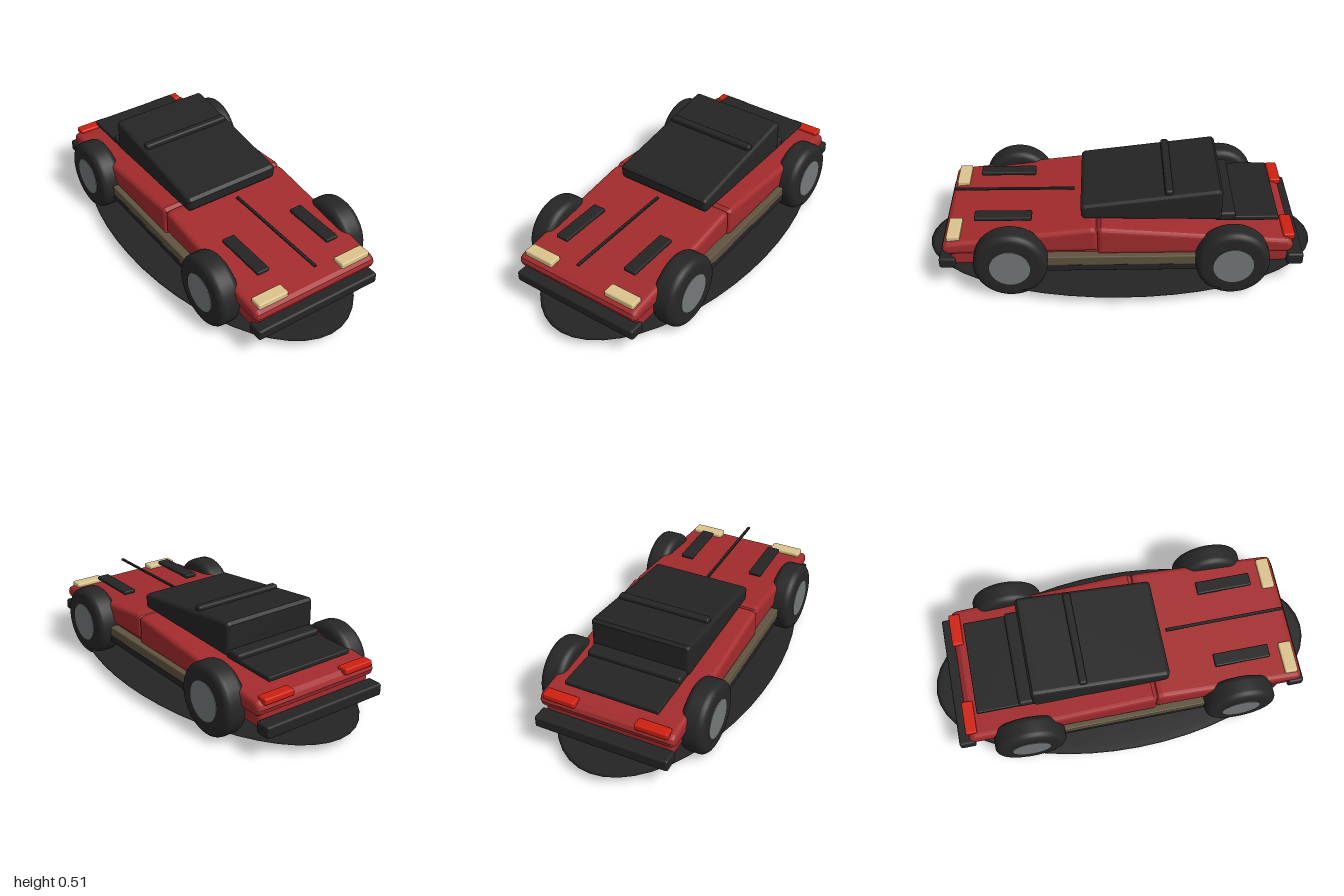
import * as THREE from 'three';
import { RoundedBoxGeometry } from 'three/addons/geometries/RoundedBoxGeometry.js';

const mat = (name, color) => {
  const m = new THREE.MeshStandardMaterial({ color });
  m.name = name;
  return m;
};

export function createModel() {
  const red = mat('body red', 0xa32b2d);
  const black = mat('trim black', 0x242424);
  const rubber = mat('tyre black', 0x262626);
  const grey = mat('hub grey', 0x73787a);
  const tan = mat('sill brown', 0x5f533f);
  const cream = mat('headlight cream', 0xdbc38c);
  const tailRed = mat('tail light red', 0xd02010);

  const root = new THREE.Group();
  root.name = 'roadster';
  const car = new THREE.Group();
  car.name = 'car';
  car.rotation.y = -0.1; // the whole car stands slightly turned
  root.add(car);

  const add = (name, geo, material, x = 0, y = 0, z = 0, parent = car) => {
    const m = new THREE.Mesh(geo, material);
    m.name = name;
    m.position.set(x, y, z);
    parent.add(m);
    return m;
  };

  // Rounded box given by its extents along the car, in height, and its half width
  const box = (name, material, [x0, x1], [y0, y1], halfW, z = 0, r = 0.01) =>
    add(name, new RoundedBoxGeometry(x1 - x0, y1 - y0, halfW * 2, 3, r),
      material, (x0 + x1) / 2, (y0 + y1) / 2, z);

  // Side profile extruded across the car, with rounded long edges
  const slab = (name, material, points, halfW, bevel) => {
    const shape = new THREE.Shape(points.map(([x, y]) => new THREE.Vector2(x, y)));
    const geo = new THREE.ExtrudeGeometry(shape, {
      depth: 2 * (halfW - bevel), bevelEnabled: true, bevelThickness: bevel,
      bevelSize: bevel, bevelOffset: -bevel, bevelSegments: 4,
    });
    geo.translate(0, 0, -(halfW - bevel));
    return add(name, geo, material);
  };

  // Bodywork
  slab('hood', red, [[0.115, 0.215], [0.86, 0.203], [0.88, 0.215], [0.887, 0.235],
    [0.88, 0.257], [0.86, 0.27], [0.15, 0.352], [0.125, 0.348], [0.115, 0.335]], 0.35, 0.025);
  slab('rearBody', red, [[0.12, 0.2], [0.12, 0.34], [0.1, 0.355], [-0.42, 0.312],
    [-0.82, 0.278], [-0.842, 0.262], [-0.85, 0.24], [-0.842, 0.215], [-0.82, 0.2]], 0.355, 0.025);
  box('lowerBody', red, [-0.83, 0.85], [0.13, 0.225], 0.335, 0, 0.025);
  box('floor', black, [-0.8, 0.8], [0.115, 0.15], 0.3);
  box('sillStrip', tan, [-0.39, 0.39], [0.155, 0.207], 0.378, 0, 0.006);
  box('sillBase', black, [-0.39, 0.39], [0.118, 0.158], 0.375, 0, 0.006);

  // Soft top, its front rail, and rear deck
  slab('cabin', black, [[-0.498, 0.355], [-0.498, 0.495], [-0.485, 0.51], [-0.46, 0.508],
    [0.185, 0.428], [0.2, 0.415], [0.198, 0.365], [0.185, 0.35], [-0.485, 0.335]], 0.262, 0.02);
  box('roofRail', black, [-0.255, -0.215], [0.465, 0.503], 0.245, 0, 0.012);
  box('foldedCover', black, [-0.568, -0.48], [0.325, 0.372], 0.25, 0, 0.015);
  box('rearDeck', black, [-0.782, -0.47], [0.322, 0.347], 0.245, 0, 0.006);
  box('hoodStripe', black, [0.235, 0.852], [0.354, 0.364], 0.008, 0, 0.003);

  // Parts mirrored left and right
  for (const s of [-1, 1]) {
    box('hoodVent', black, [0.444, 0.73], [0.326, 0.346], 0.034, s * 0.203, 0.006);
    box('headlight', cream, [0.797, 0.863], [0.262, 0.296], 0.083, s * 0.241, 0.008);
    box('tailLight', tailRed, [-0.857, -0.8], [0.262, 0.295], 0.085, s * 0.241, 0.008);
  }

  // Bumpers
  box('frontBumper', black, [0.825, 0.908], [0.122, 0.178], 0.35, 0, 0.012);
  box('rearBumper', black, [-0.908, -0.825], [0.122, 0.185], 0.35, 0, 0.012);

  // Wheels: a turned tyre with rounded shoulders around a flat hub
  const R = 0.183, W = 0.062, C = 0.035;
  const profile = [new THREE.Vector2(0.001, -W), new THREE.Vector2(0.1, -W)];
  for (const end of [-1, 1]) {
    for (let i = 0; i <= 5; i++) {
      const a = end * Math.PI / 2 * (end < 0 ? 1 - i / 5 : i / 5);
      profile.push(new THREE.Vector2(R - C + C * Math.cos(a), end * (W - C) + C * Math.sin(a)));
    }
  }
  profile.push(new THREE.Vector2(0.1, W), new THREE.Vector2(0.001, W));
  const tyreGeo = new THREE.LatheGeometry(profile, 40).rotateX(Math.PI / 2);
  const hubGeo = new THREE.CylinderGeometry(0.1, 0.1, 2 * W + 0.006, 32).rotateX(Math.PI / 2);
  for (const x of [-0.547, 0.547]) {
    for (const s of [-1, 1]) {
      const wheel = new THREE.Group();
      wheel.name = x > 0 ? 'frontWheel' : 'rearWheel';
      wheel.position.set(x, R + 0.003, s * 0.373);
      car.add(wheel);
      add('tyre', tyreGeo, rubber, 0, 0, 0, wheel);
      add('hub', hubGeo, grey, 0, 0, 0, wheel);
    }
  }

  // Thin oval plate under the car
  const plate = add('oval base', new THREE.SphereGeometry(1, 48, 16), black, 0, 0.05, 0);
  plate.scale.set(1.003, 0.008, 0.503);

  return root;
}
